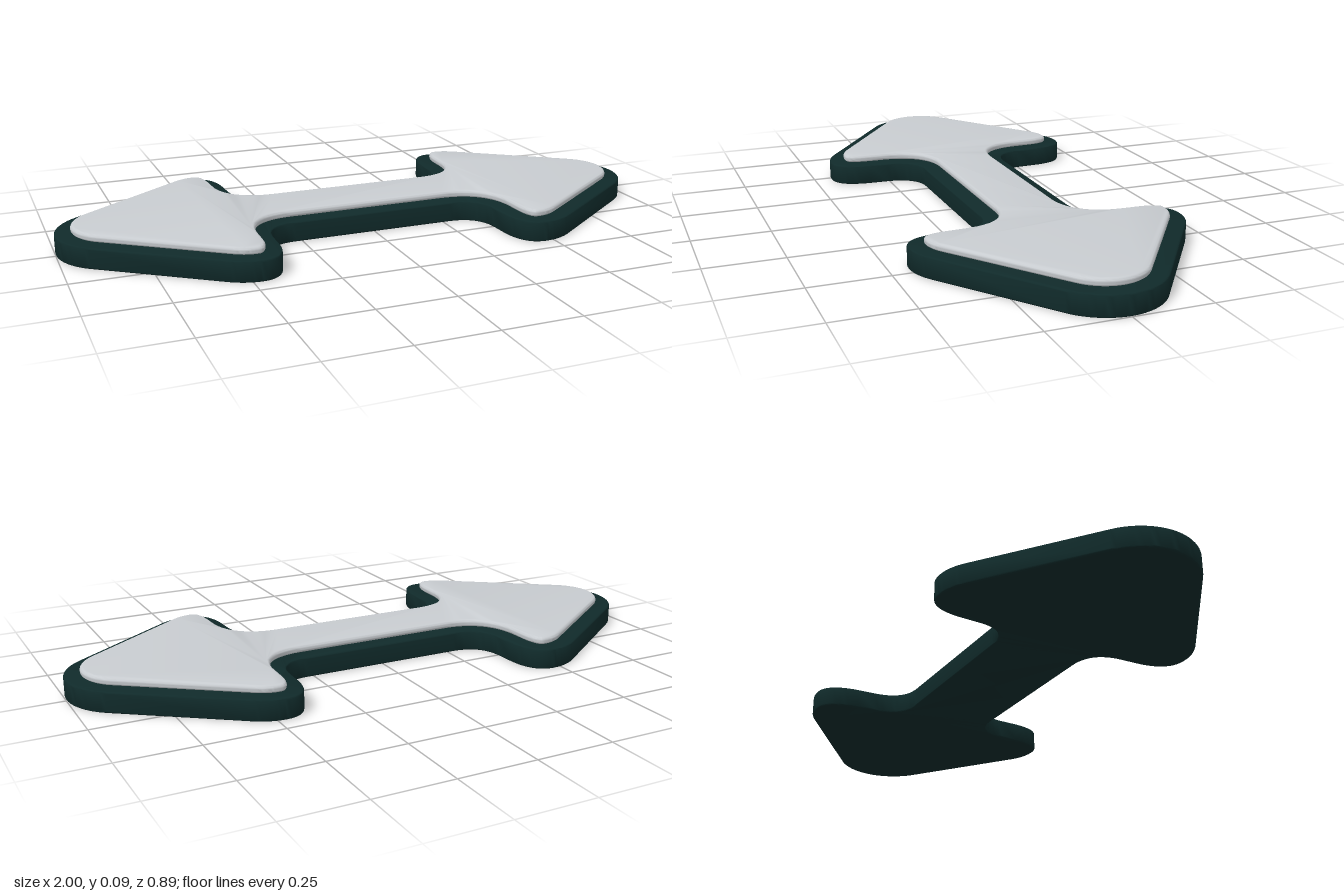
import * as THREE from 'three';
import { toCreasedNormals } from 'three/addons/utils/BufferGeometryUtils.js';

// One quarter of the double arrow, from the tip to the middle of the shaft
function quarterOutline() {
  const p = new THREE.Path();
  p.moveTo(1, 0);
  p.bezierCurveTo(1, 0.06, 0.97, 0.119, 0.92, 0.155);
  p.lineTo(0.57, 0.41);
  p.bezierCurveTo(0.535, 0.434, 0.505, 0.443, 0.47, 0.443);
  p.bezierCurveTo(0.41, 0.443, 0.385, 0.39, 0.382, 0.32);
  p.lineTo(0.38, 0.26);
  p.bezierCurveTo(0.378, 0.185, 0.34, 0.15, 0.27, 0.15);
  p.lineTo(0, 0.15);
  return p.getPoints(12);
}

// Mirrors the quarter into a closed outline, moved inwards by inset
function arrowShape(inset) {
  const q = quarterOutline();
  const quarter = q.map((pt, i) => {
    const before = i === 0 ? new THREE.Vector2(q[1].x, -q[1].y) : q[i - 1];
    const after = i === q.length - 1 ? new THREE.Vector2(-1, pt.y) : q[i + 1];
    const d1 = pt.clone().sub(before).normalize();
    const d2 = after.clone().sub(pt).normalize();
    const d = d1.add(d2).normalize();
    return new THREE.Vector2(pt.x - d.y * inset, pt.y + d.x * inset);
  });
  const flip = (pts, sx, sy) => pts.map((p) => new THREE.Vector2(p.x * sx, p.y * sy));
  const half = [...quarter, ...flip(quarter.slice(0, -1), -1, 1).reverse()];
  return new THREE.Shape([...half, ...flip(half.slice(1, -1), 1, -1).reverse()]);
}

// Flat slab with rounded rims, standing on y
function slab(name, inset, y, height, rim, material) {
  const geometry = new THREE.ExtrudeGeometry(arrowShape(inset), {
    depth: height - 2 * rim,
    bevelEnabled: true,
    bevelThickness: rim,
    bevelSize: rim,
    bevelOffset: -rim,
    bevelSegments: 4,
  });
  geometry.rotateX(-Math.PI / 2);
  geometry.translate(0, y + rim, 0);
  const mesh = new THREE.Mesh(toCreasedNormals(geometry, 0.6), material);
  mesh.name = name;
  return mesh;
}

export function createModel() {
  const darkGreen = new THREE.MeshStandardMaterial({ color: 0x102a2a });
  darkGreen.name = 'darkGreen';
  const paleGrey = new THREE.MeshStandardMaterial({ color: 0xc8ccd0 });
  paleGrey.name = 'paleGrey';

  const group = new THREE.Group();
  group.name = 'doubleArrow';
  group.add(slab('base', 0, 0, 0.067, 0.006, darkGreen));
  group.add(slab('facePlate', 0.05, 0.066, 0.025, 0.011, paleGrey));
  return group;
}
